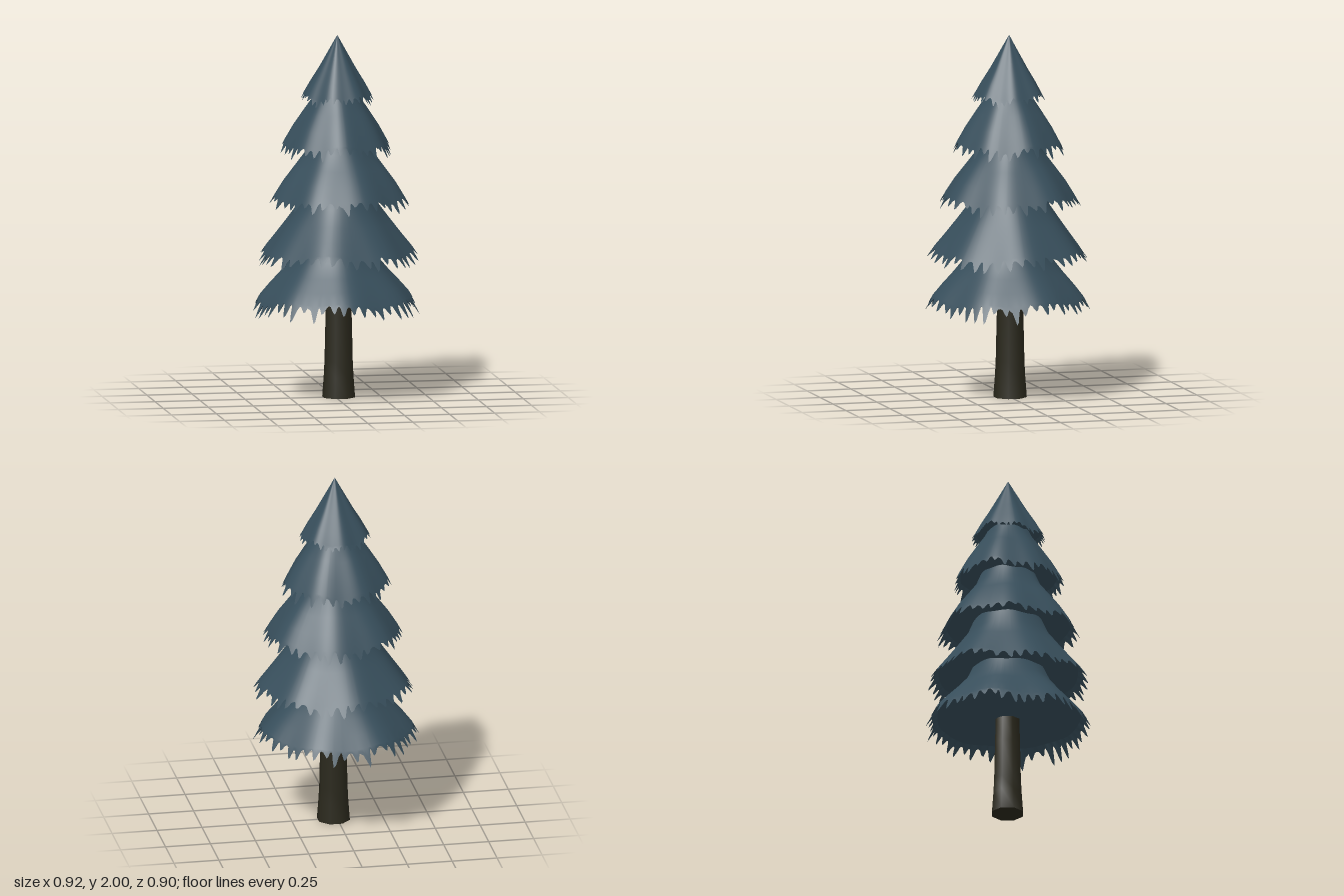
import * as THREE from 'three';

// small seeded generator
function seeded(seed) {
  let s = seed;
  return () => {
    s = (s * 16807) % 2147483647;
    return s / 2147483647;
  };
}

// joins closed rings of points into a smooth surface
function ringSurface(rings) {
  const n = rings[0].length;
  const pos = [];
  const index = [];
  for (const ring of rings) for (const p of ring) pos.push(...p);
  for (let r = 0; r < rings.length - 1; r++) {
    for (let i = 0; i < n; i++) {
      const j = (i + 1) % n;
      const a = r * n + i, b = r * n + j, c = a + n, d = b + n;
      index.push(a, c, d, a, d, b);
    }
  }
  const geo = new THREE.BufferGeometry();
  geo.setAttribute('position', new THREE.Float32BufferAttribute(pos, 3));
  geo.setIndex(index);
  geo.computeVertexNormals();
  return geo;
}

// one skirt of branches: outer slope, ragged fringe, underside
function tierGeometries({ x, teeth, profile, tip, rise, seed }) {
  const rnd = seeded(seed * 7919 + 13);
  const phase = [rnd() * 6.28, rnd() * 6.28];
  const edge = profile[profile.length - 1];
  const columns = [];
  for (let t = 0; t < teeth; t++) {
    const length = 0.4 + 0.65 * rnd();
    const lean = (rnd() - 0.5) * 0.5;
    const valley = 0.05 + 0.25 * rnd();
    const shape = [valley, valley + 0.08, 0.65, 1, 0.85, 0.35];
    const shift = [0, 0.3, 0.7, 1, 0.8, 0.4];
    shape.forEach((drop, k) => {
      const u = t + k / 6 + lean * shift[k];
      columns.push({ a: (u / teeth) * Math.PI * 2, drop: drop * length });
    });
  }
  const ring = (radius, y, wave) => columns.map((c) => {
    const w = Math.sin(3 * c.a + phase[0]) + Math.sin(7 * c.a + phase[1]);
    const r = radius(c) * (1 + 0.012 * w * wave);
    return [x + Math.sin(c.a) * r, y(c) + 0.008 * w * wave, Math.cos(c.a) * r];
  });
  const fringe = (k) => ring(
    (c) => edge[0] + (tip[0] - edge[0]) * c.drop * k,
    (c) => edge[1] + (tip[1] - edge[1]) * c.drop * k, 1);
  const slope = profile.map(([r, y], i) => ring(() => r, () => y, i / (profile.length - 1)));
  const inner = ring(() => edge[0] * 0.955, () => edge[1] + 0.006, 1);
  const centre = ring(() => 0, () => edge[1] + rise, 0);
  return {
    slope: ringSurface([...slope, fringe(0.5), fringe(1)]),
    fringeUnderside: ringSurface([fringe(1), inner]),
    underside: ringSurface([inner, centre]),
  };
}

export function createModel() {
  const tree = new THREE.Group();
  tree.name = 'pineTree';
  const needles = new THREE.MeshStandardMaterial({ color: 0x374e5b, side: THREE.DoubleSide });
  needles.name = 'blueGreenNeedles';
  const bark = new THREE.MeshStandardMaterial({ color: 0x2a281c });
  bark.name = 'darkBark';

  // trunk, flared at the foot
  const trunkRing = ([r, y]) => Array.from({ length: 8 }, (_, i) => {
    const a = ((i + 0.5) / 8) * Math.PI * 2;
    return [0.02 + Math.sin(a) * r, y, -0.003 + Math.cos(a) * r];
  });
  const addTrunkPart = (name, profile) => {
    const mesh = new THREE.Mesh(ringSurface(profile.map(trunkRing)), bark);
    mesh.name = name;
    tree.add(mesh);
  };
  addTrunkPart('trunk', [[0.069, 0.58], [0.074, 0.42], [0.079, 0.2], [0.083, 0.12], [0.092, 0]]);
  addTrunkPart('trunkFoot', [[0.092, 0], [0, 0]]);

  // five skirts from the crown down: profile is [radius, height]
  const tiers = [
    { x: 0.012, teeth: 36, tip: [0.205, 1.635], rise: 0.02,
      profile: [[0, 2], [0.03, 1.945], [0.102, 1.815], [0.15, 1.735], [0.182, 1.675]] },
    { x: 0.008, teeth: 36, tip: [0.312, 1.34], rise: 0.03,
      profile: [[0.09, 1.74], [0.132, 1.65], [0.182, 1.575], [0.236, 1.49], [0.278, 1.41]] },
    { x: 0.022, teeth: 40, tip: [0.392, 1.05], rise: 0.04,
      profile: [[0.14, 1.46], [0.182, 1.36], [0.246, 1.275], [0.306, 1.195], [0.352, 1.12]] },
    { x: 0.015, teeth: 42, tip: [0.446, 0.75], rise: 0.04,
      profile: [[0.18, 1.17], [0.224, 1.06], [0.288, 0.97], [0.35, 0.885], [0.398, 0.82]] },
    { x: 0, teeth: 48, tip: [0.462, 0.465], rise: 0,
      profile: [[0.19, 0.87], [0.235, 0.77], [0.3, 0.69], [0.362, 0.62], [0.41, 0.56]] },
  ];
  tiers.forEach((tier, i) => {
    const skirt = new THREE.Group();
    skirt.name = `branchTier${i + 1}`;
    const parts = tierGeometries({ ...tier, seed: i + 3 });
    for (const [name, geo] of Object.entries(parts)) {
      const mesh = new THREE.Mesh(geo, needles);
      mesh.name = name;
      skirt.add(mesh);
    }
    tree.add(skirt);
  });
  return tree;
}
